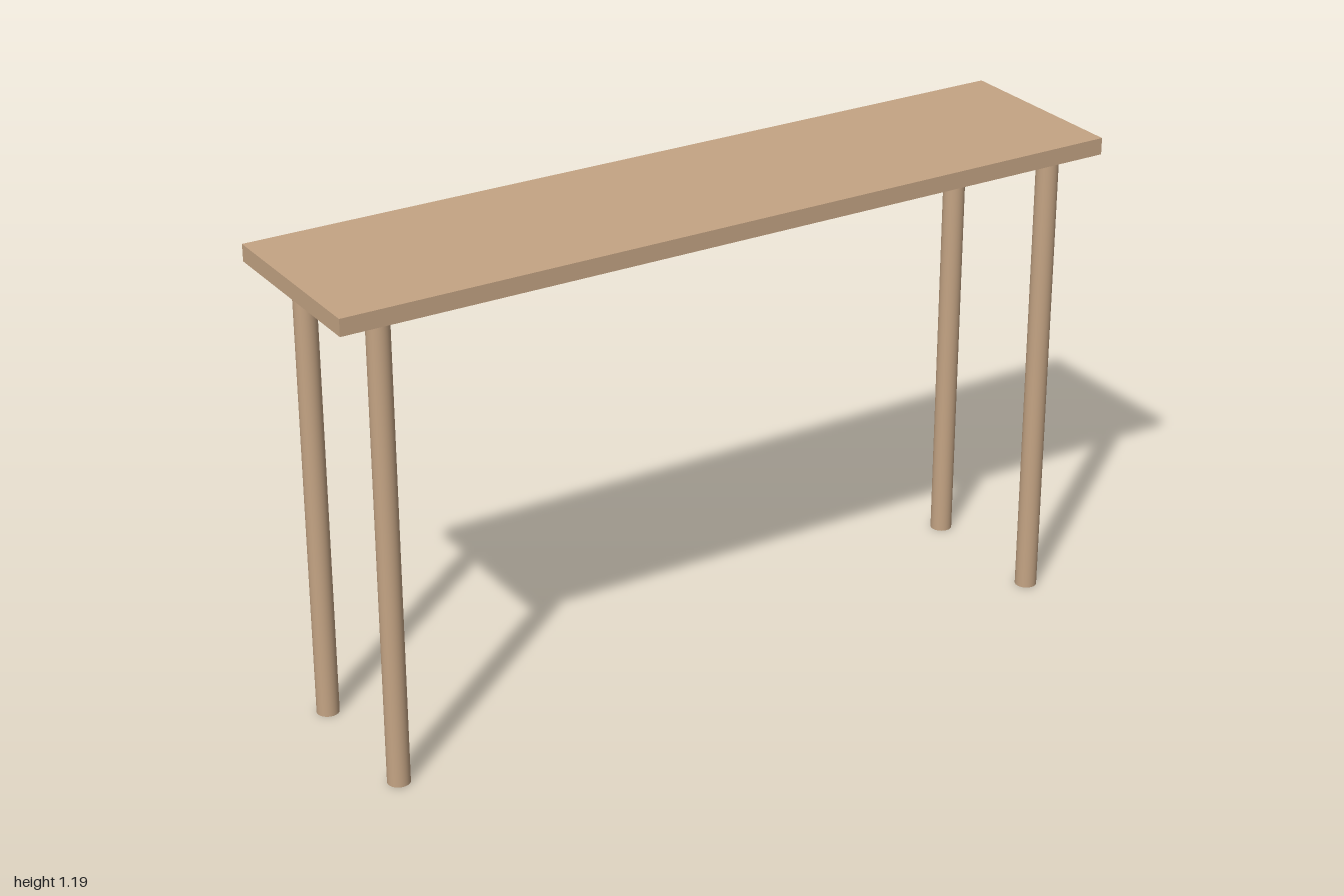
import * as THREE from 'three';

const HEIGHT = 1.188, THICKNESS = 0.041, DEPTH = 0.476;
const LEG_X = 0.885, LEG_Z = 0.181, LEG_RADIUS = 0.027;

export function createModel() {
  const table = new THREE.Group();
  table.name = 'table';
  const wood = new THREE.MeshStandardMaterial({ color: 0xc4a484 });

  // Flat rectangular top
  const top = new THREE.Mesh(new THREE.BoxGeometry(2, THICKNESS, DEPTH), wood);
  top.name = 'tableTop';
  top.position.y = HEIGHT - THICKNESS / 2;
  table.add(top);

  // Four round legs, set in from the corners
  const legHeight = HEIGHT - THICKNESS;
  const legGeometry = new THREE.CylinderGeometry(LEG_RADIUS, LEG_RADIUS, legHeight, 32);
  for (const [zSide, end] of [[1, 'front'], [-1, 'back']]) {
    for (const [xSide, side] of [[1, 'Left'], [-1, 'Right']]) {
      const leg = new THREE.Mesh(legGeometry, wood);
      leg.name = `${end}${side}Leg`;
      leg.position.set(xSide * LEG_X, legHeight / 2, zSide * LEG_Z);
      table.add(leg);
    }
  }
  return table;
}
